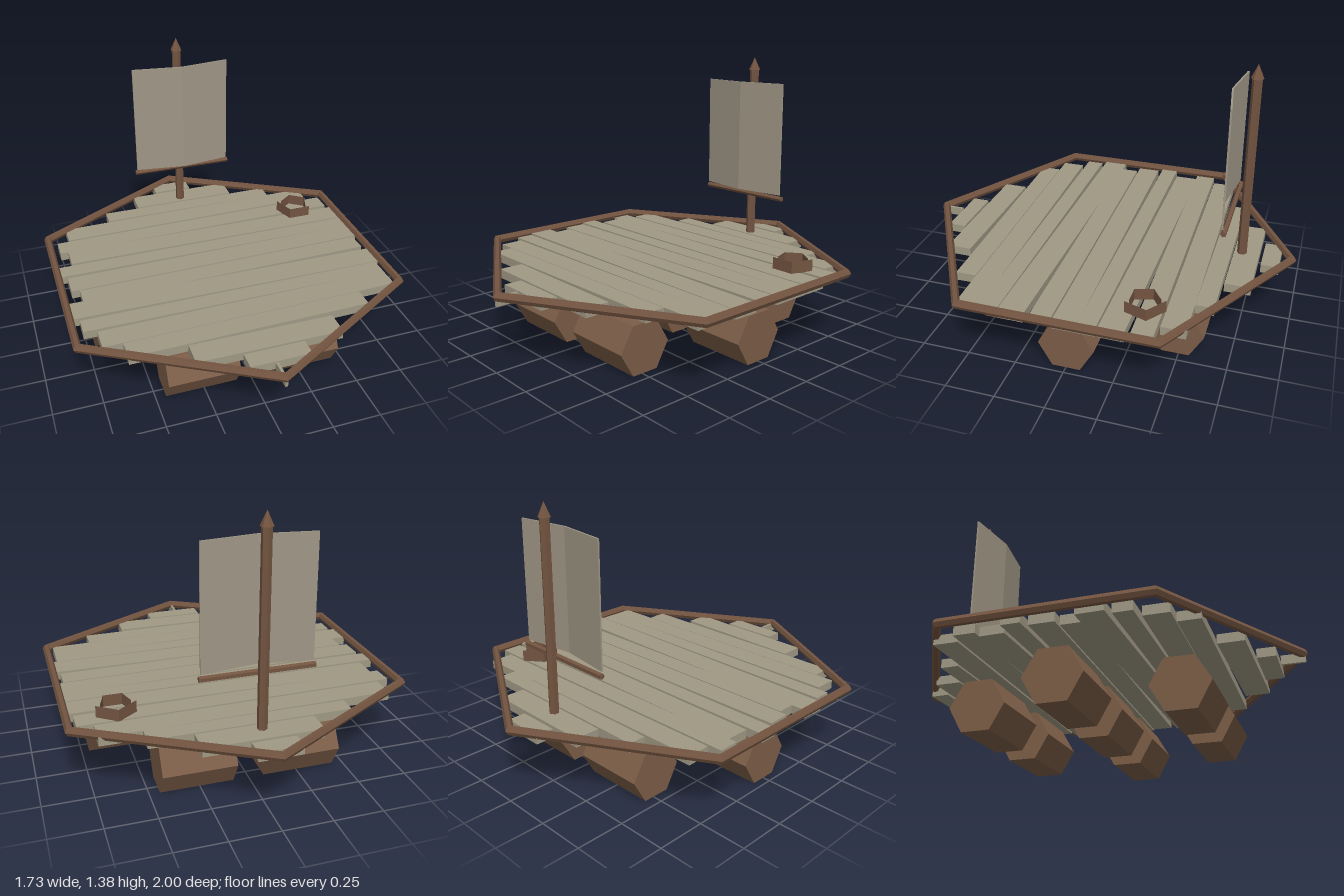
import * as THREE from 'three';

const flat = (name, color, extra = {}) => {
  const m = new THREE.MeshStandardMaterial({ color, flatShading: true, ...extra });
  m.name = name;
  return m;
};

export function createModel() {
  const raft = new THREE.Group();
  raft.name = 'raft';
  const barrelWood = flat('barrel wood', 0x7b5d47);
  const darkWood = flat('dark wood', 0x735440);
  const plankWood = flat('weathered plank', 0x9f9884);
  const canvas = flat('sail canvas', 0x9f9685);

  const add = (name, geometry, material, x = 0, y = 0, z = 0, parent = raft) => {
    const mesh = new THREE.Mesh(geometry, material);
    mesh.name = name;
    mesh.position.set(x, y, z);
    parent.add(mesh);
    return mesh;
  };

  // Floating barrels: rows of two, three and two, lying along x
  const barrels = new THREE.Group();
  barrels.name = 'barrels';
  raft.add(barrels);
  const barrelGeo = new THREE.CylinderGeometry(0.141, 0.141, 0.37, 6).rotateZ(Math.PI / 2);
  for (const [z, count] of [[-0.482, 2], [0, 3], [0.482, 2]]) {
    for (let i = 0; i < count; i++) {
      add('barrel', barrelGeo, barrelWood, (i - (count - 1) / 2) * 0.526, 0.1225, z, barrels);
    }
  }

  // Deck planks: [left end, right end, centre z, width, turn]
  const deck = new THREE.Group();
  deck.name = 'deck';
  raft.add(deck);
  const planks = [
    [-0.127, 0.09, -0.875, 0.09, 0], [-0.275, 0.31, -0.747, 0.13, 0],
    [-0.476, 0.524, -0.627, 0.09, 0], [-0.735, 0.73, -0.515, 0.12, 0.014],
    [-0.8, 0.81, -0.39, 0.105, 0.014], [-0.757, 0.83, -0.265, 0.125, -0.006],
    [-0.835, 0.83, -0.145, 0.09, 0], [-0.8, 0.83, -0.03, 0.12, 0.014],
    [-0.757, 0.81, 0.09, 0.105, 0.014], [-0.835, 0.83, 0.215, 0.13, -0.011],
    [-0.8, 0.81, 0.337, 0.09, 0], [-0.735, 0.81, 0.45, 0.12, 0.014],
    [-0.635, 0.603, 0.566, 0.105, 0.014], [-0.35, 0.386, 0.7, 0.125, -0.01],
    [-0.127, 0.18, 0.82, 0.09, 0], [-0.007, 0.007, 0.93, 0.115, 0],
  ];
  for (const [x0, x1, z, width, turn] of planks) {
    const plank = add('plank', new THREE.BoxGeometry(x1 - x0, 0.045, width), plankWood,
      (x0 + x1) / 2, 0.3425, z, deck);
    plank.rotation.y = turn;
  }

  // Six-sided rim around the deck
  const rim = new THREE.TorusGeometry(0.977, 0.023, 6, 6).rotateZ(Math.PI / 6).rotateX(Math.PI / 2);
  add('rim', rim, darkWood, 0, 0.365, 0);

  // Mast and its pointed cap
  add('mast', new THREE.CylinderGeometry(0.025, 0.025, 0.99, 6), darkWood, 0, 0.825, -0.722);
  add('mastCap', new THREE.ConeGeometry(0.032, 0.07, 6), darkWood, 0, 1.35, -0.722);

  // Sail of two panels folded forward along the middle
  const fold = new THREE.Shape([
    [-0.274, 0.644], [0, 0.607], [0.272, 0.644], [0.272, 0.653], [0, 0.616], [-0.274, 0.653],
  ].map(([x, y]) => new THREE.Vector2(x, y)));
  const sail = new THREE.ExtrudeGeometry(fold, { depth: 0.613, bevelEnabled: false }).rotateX(-Math.PI / 2);
  add('sail', sail, canvas, 0, 0.641, 0);

  // Yard under the sail
  const yard = new THREE.CylinderGeometry(0.015, 0.015, 0.564, 5).rotateZ(Math.PI / 2);
  add('yard', yard, darkWood, 0, 0.62, -0.656);

  // Five-sided ring on the deck: outer wall facing out, inner wall facing in
  const ring = new THREE.Group();
  ring.name = 'deckRing';
  raft.add(ring);
  const wall = (radius) => new THREE.CylinderGeometry(radius, radius, 0.062, 5, 1, true).rotateY(Math.PI);
  add('ringOuterWall', wall(0.103), darkWood, 0.611, 0.394, -0.362, ring);
  const inner = wall(0.078);
  const idx = inner.index.array;
  for (let i = 0; i < idx.length; i += 3) [idx[i], idx[i + 1]] = [idx[i + 1], idx[i]];
  inner.computeVertexNormals();
  add('ringInnerWall', inner, darkWood, 0.611, 0.394, -0.362, ring);

  return raft;
}
